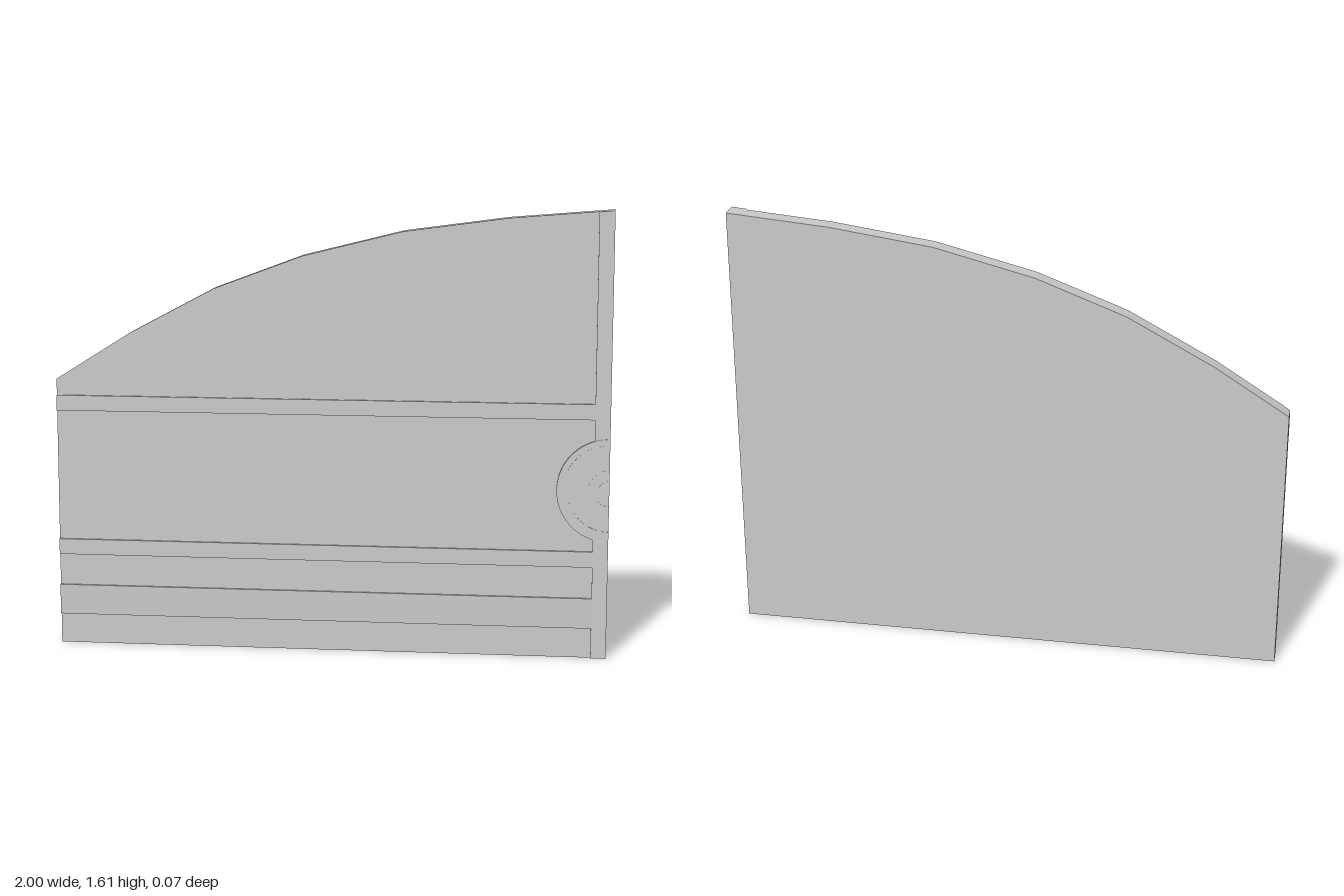
import * as THREE from 'three';

const BACK = -0.037, PANEL = 0.024, FRAME = 0.033;

export function createModel() {
  const group = new THREE.Group();
  const material = new THREE.MeshStandardMaterial({ color: 0xcccccc, flatShading: true });

  // Extrudes a flat outline between two depths
  function addSlab(name, shape, z0, z1) {
    const geometry = new THREE.ExtrudeGeometry(shape, { depth: z1 - z0, bevelEnabled: false, curveSegments: 32 });
    geometry.translate(0, 0, z0);
    const mesh = new THREE.Mesh(geometry, material);
    mesh.name = name;
    group.add(mesh);
  }
  const outline = (points) => new THREE.Shape(points.map(([x, y]) => new THREE.Vector2(x, y)));

  // Door leaf with a faceted half-arch top
  addSlab('doorLeaf', outline([
    [-1, 0], [1, 0], [1, 1.61], [0.63, 1.58], [0.26, 1.53],
    [-0.1, 1.44], [-0.42, 1.32], [-0.73, 1.155], [-1, 0.985],
  ]), BACK, PANEL);

  // Upright stile along the meeting edge
  addSlab('meetingStile', outline([[0.945, 0], [1, 0], [1, 1.61], [0.945, 1.605]]), PANEL, FRAME);

  // Horizontal rails, flush with the stile
  for (const [name, bottom, top] of [
    ['lowerRail', 0.11, 0.22], ['middleRail', 0.335, 0.392], ['upperRail', 0.87, 0.926],
  ]) {
    addSlab(name, outline([[-1, bottom], [0.945, bottom], [0.945, top], [-1, top]]), PANEL, FRAME);
  }

  // Half-round lock plate on the meeting edge, with raised rings
  function halfRing(inner, outer) {
    const shape = new THREE.Shape();
    shape.absarc(1, 0.615, outer, Math.PI / 2, Math.PI * 1.5, false);
    if (inner > 0) shape.absarc(1, 0.615, inner, Math.PI * 1.5, Math.PI / 2, true);
    shape.closePath();
    return shape;
  }
  addSlab('lockPlate', halfRing(0, 0.187), PANEL, 0.0355);
  for (const [inner, outer] of [[0.148, 0.165], [0.055, 0.075], [0, 0.038]]) {
    addSlab('lockPlateRing', halfRing(inner, outer), 0.0355, 0.037);
  }
  return group;
}
